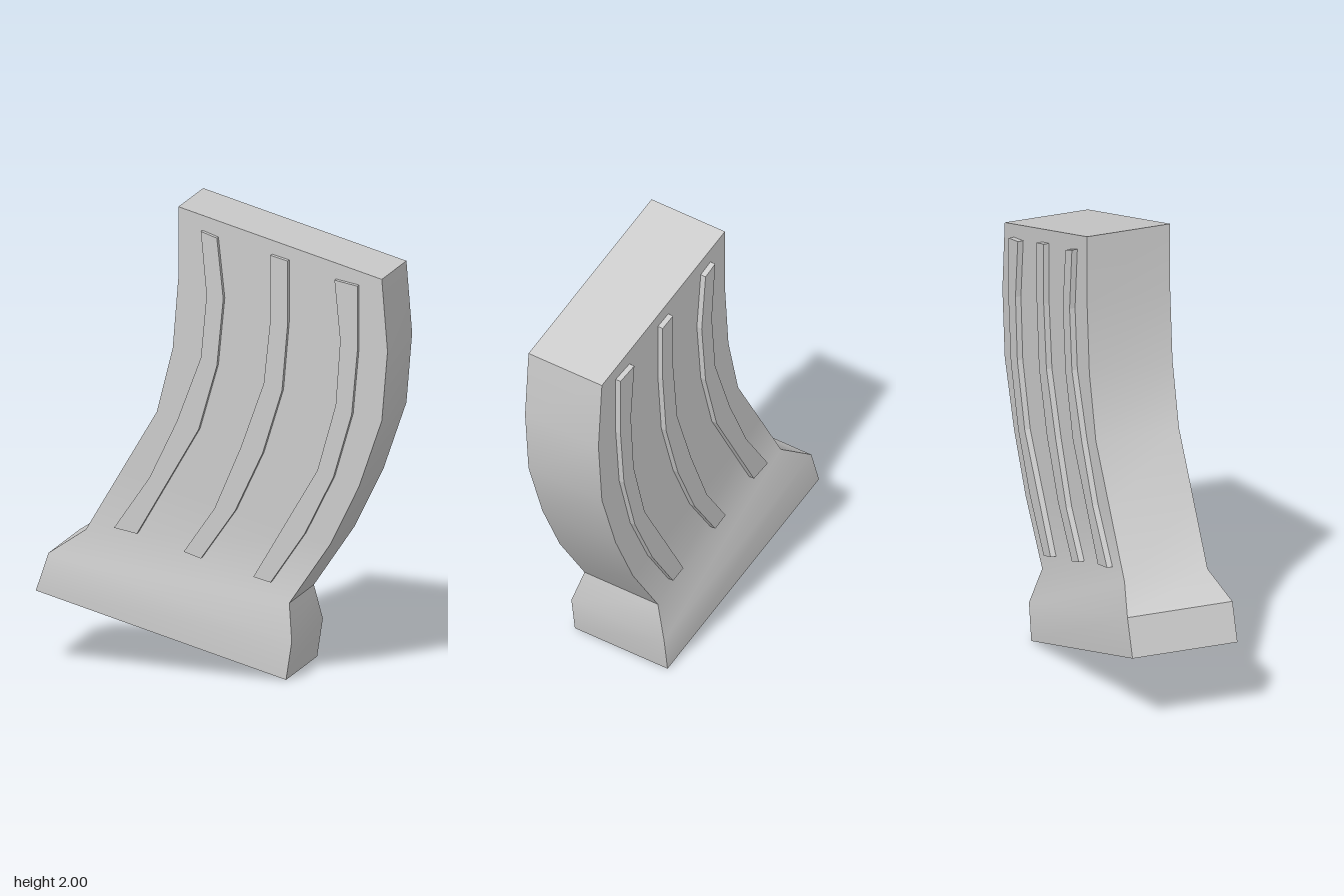
import * as THREE from 'three';
import { toCreasedNormals } from 'three/addons/utils/BufferGeometryUtils.js';

const material = new THREE.MeshStandardMaterial({ color: 0xcccccc });

// Cross-sections from base to top: [left x, left y, right x, right y, half depth]
const SECTIONS = [
  [-0.765, 0.32, 0.33, 0.0, 0.24],
  [-0.71, 0.485, 0.355, 0.165, 0.24],
  [-0.56, 0.585, 0.33, 0.32, 0.19],
  [-0.405, 0.848, 0.51, 0.585, 0.19],
  [-0.25, 1.11, 0.635, 0.84, 0.19],
  [-0.18, 1.39, 0.735, 1.13, 0.19],
  [-0.155, 1.70, 0.76, 1.43, 0.19],
  [-0.155, 2.0, 0.735, 1.74, 0.19],
];

// Rib outlines: one edge going up, the other coming back down
const RIBS = [
  [[-0.43, 0.605], [-0.275, 0.83], [-0.155, 1.08], [-0.05, 1.36], [-0.025, 1.63], [-0.05, 1.905],
    [0.02, 1.88], [0.048, 1.62], [0.02, 1.33], [-0.06, 1.05], [-0.33, 0.585]],
  [[-0.125, 0.52], [0.01, 0.715], [0.125, 0.985], [0.225, 1.265], [0.255, 1.55], [0.255, 1.82],
    [0.33, 1.80], [0.33, 1.53], [0.305, 1.24], [0.22, 0.965], [0.10, 0.71], [-0.05, 0.495]],
  [[0.18, 0.43], [0.46, 0.905], [0.54, 1.19], [0.56, 1.47], [0.535, 1.73],
    [0.635, 1.71], [0.635, 1.43], [0.61, 1.155], [0.53, 0.88], [0.405, 0.63], [0.255, 0.41]],
];

// Skins the four-cornered sections and closes both ends
function bodyGeometry() {
  const positions = [];
  const index = [];
  for (const [lx, ly, rx, ry, d] of SECTIONS) {
    positions.push(lx, ly, d, rx, ry, d, rx, ry, -d, lx, ly, -d);
  }
  for (let s = 0; s < SECTIONS.length - 1; s++) {
    for (let k = 0; k < 4; k++) {
      const a = s * 4 + k;
      const b = s * 4 + (k + 1) % 4;
      index.push(a, b, b + 4, a, b + 4, a + 4);
    }
  }
  const t = (SECTIONS.length - 1) * 4;
  index.push(0, 2, 1, 0, 3, 2, t, t + 1, t + 2, t, t + 2, t + 3);
  const geometry = new THREE.BufferGeometry();
  geometry.setAttribute('position', new THREE.Float32BufferAttribute(positions, 3));
  geometry.setIndex(index);
  return toCreasedNormals(geometry, THREE.MathUtils.degToRad(35));
}

export function createModel() {
  const group = new THREE.Group();

  // Curved body with its flared base
  const body = new THREE.Mesh(bodyGeometry(), material);
  body.name = 'body';
  group.add(body);

  // Raised ribs on the front and back faces
  RIBS.forEach((outline, i) => {
    const shape = new THREE.Shape(outline.map(([x, y]) => new THREE.Vector2(x, y)));
    const geometry = new THREE.ExtrudeGeometry(shape, { depth: 0.045, bevelEnabled: false });
    for (const [side, z] of [['front', 0.17], ['back', -0.215]]) {
      const rib = new THREE.Mesh(geometry, material);
      rib.name = `${side}Rib${i + 1}`;
      rib.position.z = z;
      group.add(rib);
    }
  });

  return group;
}
